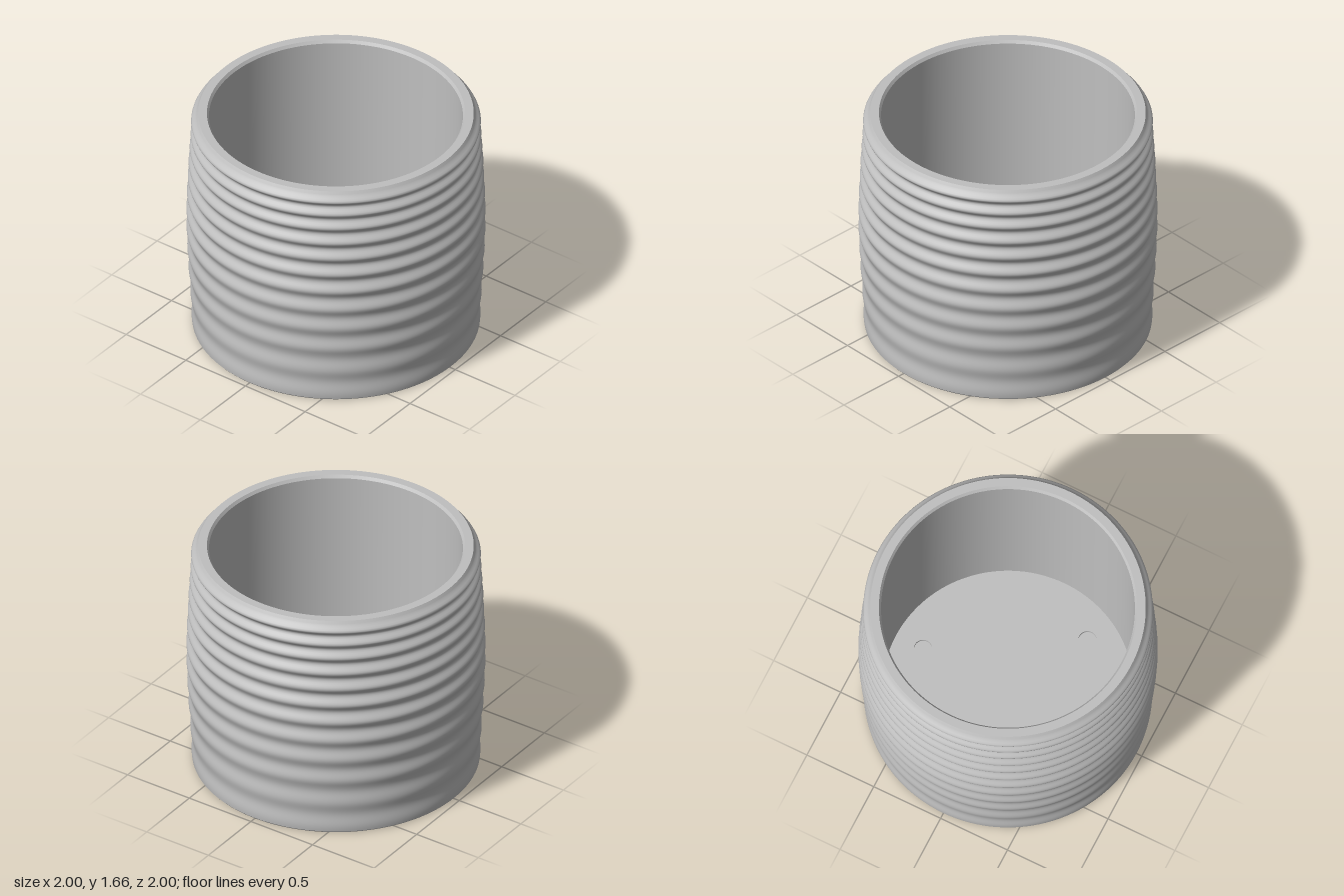
import * as THREE from 'three';

const V = (x, y) => new THREE.Vector2(x, y);
const SEG = 128;

// Piecewise linear lookup; the end spans extend past their limits
function lookup(xs, ys, x) {
  let i = 0;
  while (i < xs.length - 2 && x > xs[i + 1]) i++;
  return ys[i] + (ys[i + 1] - ys[i]) * (x - xs[i]) / (xs[i + 1] - xs[i]);
}

// Heights midway down the underside of each rib; ribs tighten towards the top
const RIBS = [-0.01, 0.187, 0.38, 0.551, 0.711, 0.861, 1.0, 1.128, 1.251, 1.369, 1.476, 1.577, 1.675];
const RIB_INDEX = RIBS.map((_, i) => i);

// Crest and valley radii along the height
const LEVELS = [0, 0.25, 0.43, 0.6, 0.75, 0.9, 1.03, 1.16, 1.28, 1.4, 1.5, 1.6, 1.67];
const CRESTS = [0.963, 0.974, 0.985, 0.994, 0.999, 1, 0.996, 0.99, 0.985, 0.977, 0.971, 0.968, 0.955];
const VALLEYS = [0.955, 0.96, 0.969, 0.977, 0.978, 0.974, 0.968, 0.962, 0.956, 0.948, 0.941, 0.933, 0.93];

function bodyRadius(y) {
  const wave = 0.5 + 0.5 * Math.sin(2 * Math.PI * lookup(RIBS, RIB_INDEX, y));
  return THREE.MathUtils.lerp(lookup(LEVELS, VALLEYS, y), lookup(LEVELS, CRESTS, y), wave);
}

export function createModel() {
  const group = new THREE.Group();
  const clay = new THREE.MeshStandardMaterial({ color: 0xbfbfbf });
  clay.name = 'light grey';

  const add = (name, geometry, x = 0, y = 0, z = 0) => {
    const mesh = new THREE.Mesh(geometry, clay);
    mesh.name = name;
    mesh.position.set(x, y, z);
    group.add(mesh);
  };
  const lathe = (name, points, x, z) => add(name, new THREE.LatheGeometry(points, SEG), x, 0, z);

  // Ribbed outer wall
  const outer = [];
  for (let i = 0; i <= 150; i++) {
    const y = 0.01 + (1.645 - 0.01) * i / 150;
    outer.push(V(bodyRadius(y), y));
  }
  lathe('ribbedWall', outer);

  // Base edge, rim and inside wall, each with crisp borders
  const top = 1.665, floorY = 0.08, base = 0.953, floorR = 0.838;
  lathe('baseEdge', [V(base, 0), outer[0].clone()]);
  lathe('rimOuterChamfer', [outer[150].clone(), V(0.92, top)]);
  lathe('rimTop', [V(0.92, top), V(0.862, top)]);
  lathe('rimInnerChamfer', [V(0.862, top), V(0.848, top - 0.02)]);
  lathe('innerWall', [V(0.848, top - 0.02), V(floorR, floorY)]);

  // Flat disc with round recesses; dir is +1 facing up, -1 facing down
  function recessedDisc(name, radius, y, dir, spots, r, depth) {
    const shape = new THREE.Shape().absarc(0, 0, radius, 0, Math.PI * 2);
    spots.forEach(([x, z]) => shape.holes.push(new THREE.Path().absarc(x, -dir * z, r, 0, Math.PI * 2, true)));
    add(name, new THREE.ShapeGeometry(shape, SEG / 2).rotateX(-dir * Math.PI / 2), 0, y, 0);
    const end = y - dir * depth;
    spots.forEach(([x, z]) => {
      lathe(name + 'RecessWall', [V(r, Math.max(y, end)), V(r, Math.min(y, end))], x, z);
      add(name + 'Recess', new THREE.CircleGeometry(r, 40).rotateX(-dir * Math.PI / 2), x, end, z);
    });
  }

  // Three small recesses in the floor, four larger foot recesses underneath
  const ring = (n, radius, start) => Array.from({ length: n }, (_, i) => {
    const a = start + i * 2 * Math.PI / n;
    return [radius * Math.sin(a), radius * Math.cos(a)];
  });
  recessedDisc('floor', floorR, floorY, 1, ring(3, 0.635, Math.PI), 0.061, 0.02);
  recessedDisc('underside', base, 0, -1, ring(4, 0.795, Math.PI / 4), 0.095, 0.015);
  return group;
}
